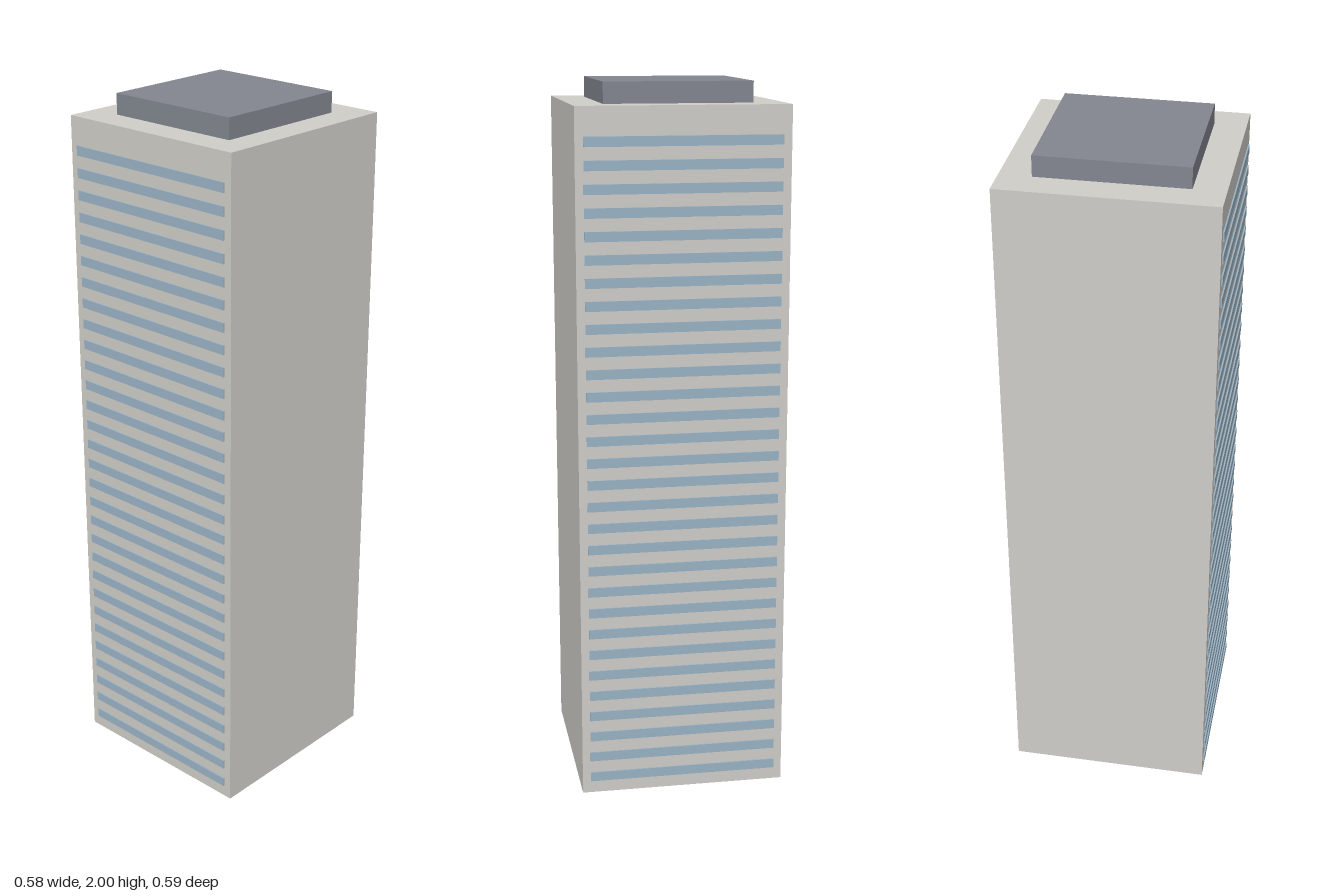
import * as THREE from 'three';

export function createModel() {
  const group = new THREE.Group();
  group.name = 'officeTower';

  const concrete = new THREE.MeshStandardMaterial({ color: 0xcfcdc8 });
  const glass = new THREE.MeshStandardMaterial({ color: 0x9ab3c5 });
  const slate = new THREE.MeshStandardMaterial({ color: 0x82868f });

  const width = 0.583, height = 1.942, roofHeight = 0.058;

  function addBox(name, w, h, d, y, z, material, parent = group) {
    const mesh = new THREE.Mesh(new THREE.BoxGeometry(w, h, d), material);
    mesh.name = name;
    mesh.position.set(0, y, z);
    parent.add(mesh);
  }

  // Main shaft and the plant room on its roof
  addBox('towerBody', width, height, width, height / 2, 0, concrete);
  addBox('roofPlantRoom', 0.408, roofHeight, 0.408, height + roofHeight / 2, 0, slate);

  // Slightly raised window strips, one per floor, on the front and back only
  const floors = 30, firstFloor = 0.049, floorStep = 0.0621;
  for (const [name, side] of [['frontWindows', 1], ['backWindows', -1]]) {
    const windows = new THREE.Group();
    windows.name = name;
    for (let i = 0; i < floors; i++) {
      addBox('windowStrip', 0.537, 0.027, 0.008, firstFloor + i * floorStep, side * width / 2, glass, windows);
    }
    group.add(windows);
  }

  return group;
}
